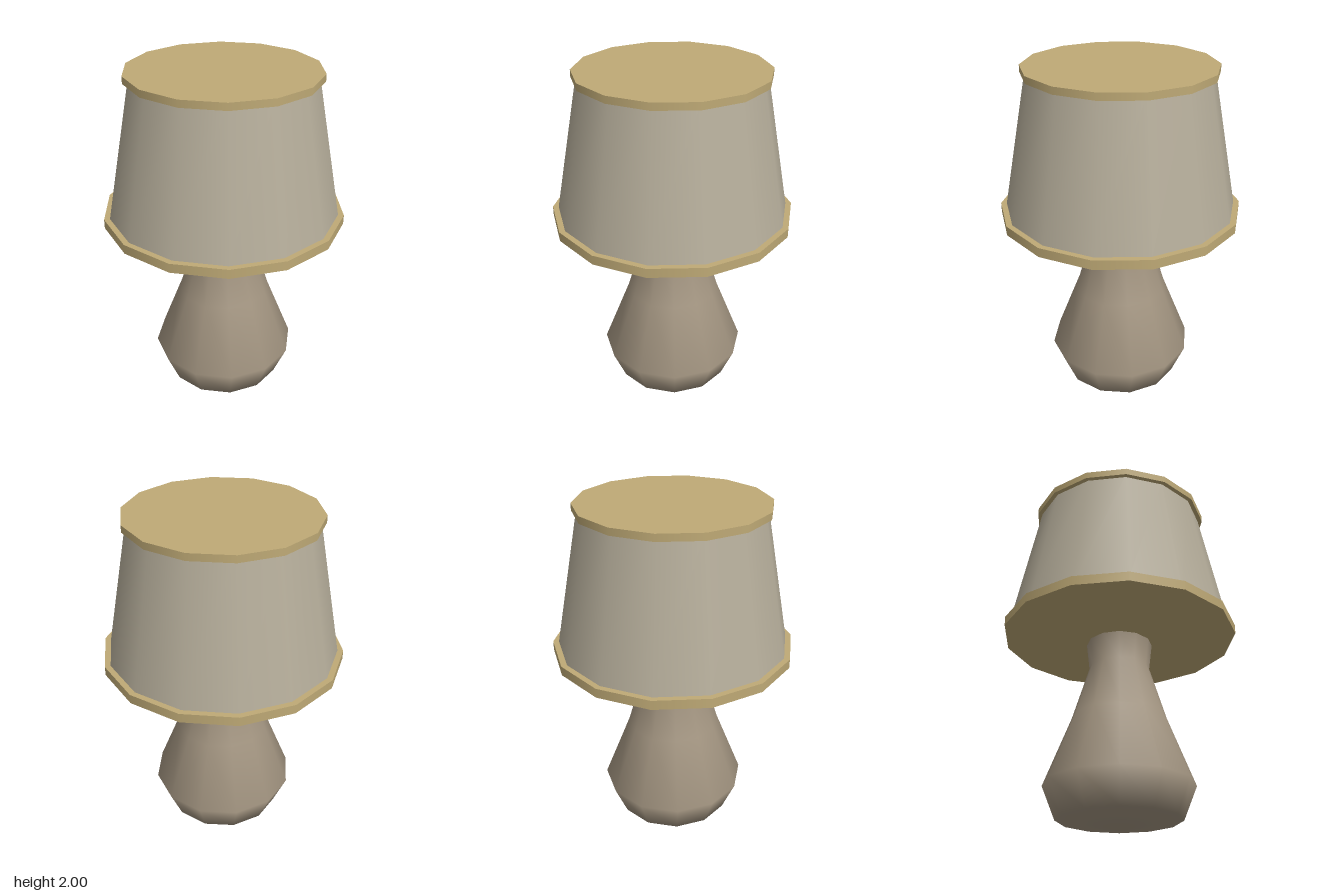
import * as THREE from 'three';

const material = (color) => new THREE.MeshStandardMaterial({ color });

export function createModel() {
  const lamp = new THREE.Group();
  lamp.name = 'tableLamp';

  const ceramic = material(0xa39581);
  const fabric = material(0xb5ad9a);
  const trim = material(0xbfaa76);
  const brass = material(0xa98d55);
  fabric.side = THREE.DoubleSide;

  // Upright tapered drum between two heights
  function drum(name, rTop, rBottom, y0, y1, sides, mat, open = false) {
    const geometry = new THREE.CylinderGeometry(rTop, rBottom, y1 - y0, sides, 1, open);
    const mesh = new THREE.Mesh(geometry, mat);
    mesh.name = name;
    mesh.position.y = (y0 + y1) / 2;
    lamp.add(mesh);
  }

  // Vase-shaped body, turned in 12 smooth sides
  const profile = [
    [0, 0], [0.352, 0.045], [0.43, 0.235], [0.275, 0.63], [0.178, 0.945], [0.196, 1.1],
  ].map(([r, y]) => new THREE.Vector2(r, y));
  const body = new THREE.Mesh(new THREE.LatheGeometry(profile, 12), ceramic);
  body.name = 'body';
  lamp.add(body);

  // Flat lid closing the neck
  const lid = new THREE.Mesh(new THREE.CircleGeometry(0.196, 12), ceramic);
  lid.name = 'neckTop';
  lid.rotation.x = -Math.PI / 2;
  lid.position.y = 1.1;
  lamp.add(lid);

  // Stem joining the neck to the shade
  drum('stem', 0.046, 0.046, 1.09, 1.14, 6, brass);

  // Fourteen-sided shade with a trim disc at each end
  drum('shade', 0.51, 0.668, 1.17, 1.98, 14, fabric, true);
  drum('lowerTrim', 0.698, 0.698, 1.133, 1.187, 14, trim);
  drum('upperTrim', 0.54, 0.54, 1.96, 2, 14, trim);

  return lamp;
}
